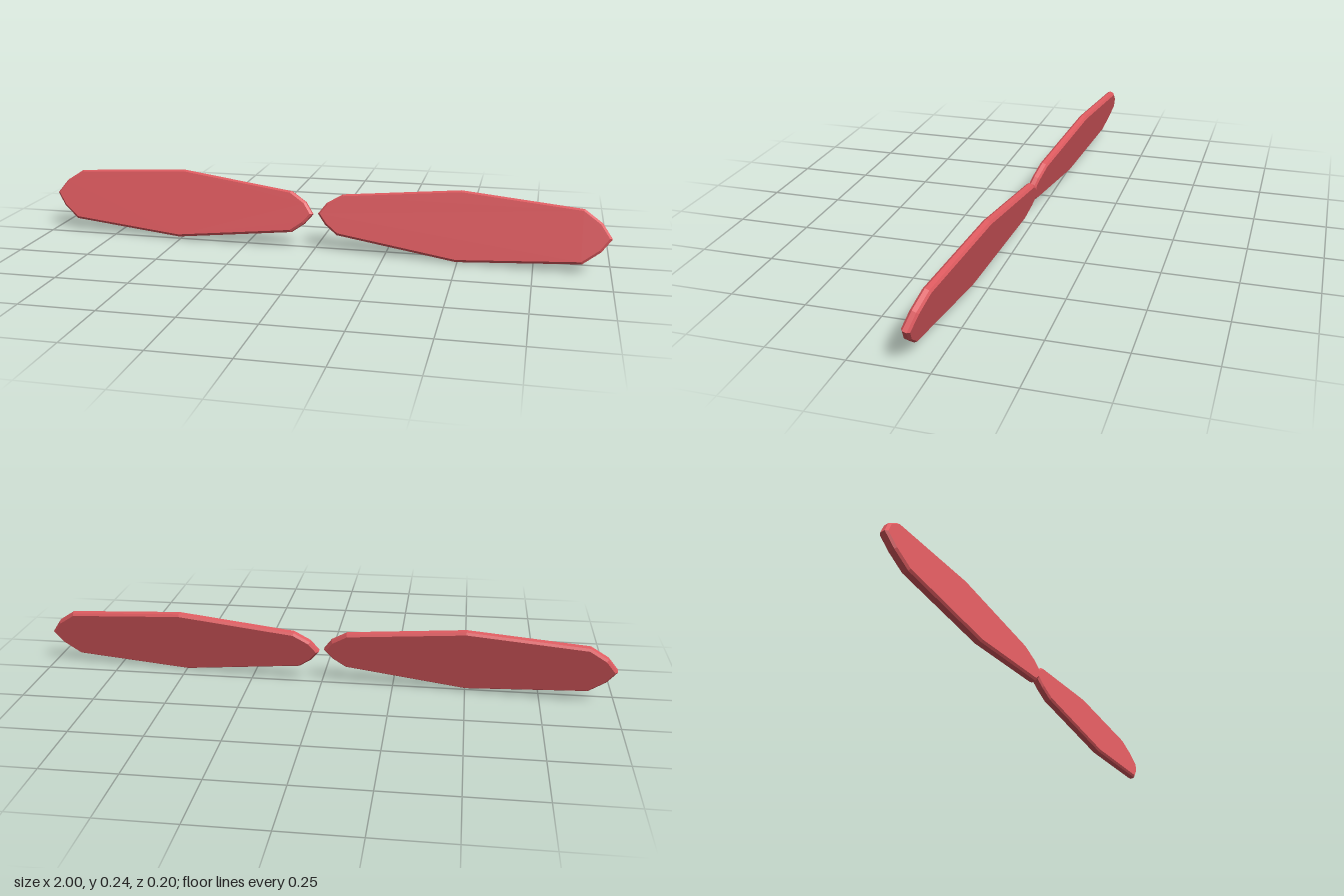
import * as THREE from 'three';

// Blade outline: u runs from the inner tip to the outer tip, v is the height
const OUTLINE = [
  [0.5, 0], [0.465, 0.049], [0.405, 0.09], [0, 0.12], [-0.41, 0.074], [-0.465, 0.04],
  [-0.494, 0], [-0.465, -0.036], [-0.42, -0.069], [0, -0.122], [0.41, -0.09], [0.467, -0.046],
];
const DEPTH = 0.014;
const BEVEL = 0.007;

// Flat bevelled plate; side = 1 or -1 mirrors the outline
function bladeGeometry(side) {
  const points = OUTLINE.map(([u, v]) => new THREE.Vector2(u * side, v));
  if (side < 0) points.reverse();
  const geometry = new THREE.ExtrudeGeometry(new THREE.Shape(points), {
    depth: DEPTH,
    bevelEnabled: true,
    bevelThickness: BEVEL,
    bevelSize: BEVEL,
    bevelOffset: -BEVEL,
    bevelSegments: 1,
  });
  return geometry.translate(0, 0, -DEPTH / 2);
}

export function createModel() {
  const model = new THREE.Group();
  model.name = 'bladePair';
  const material = new THREE.MeshStandardMaterial({ color: 0xdd5a5f, flatShading: true });

  // Two blades end to end, leaning back and turned slightly
  for (const side of [1, -1]) {
    const blade = new THREE.Mesh(bladeGeometry(side), material);
    blade.name = side > 0 ? 'leftBlade' : 'rightBlade';
    blade.position.set(0.5 * side, 0.123 - 0.003 * side, 0.031 * side);
    blade.rotation.set(-0.29, -0.08, -0.004, 'YXZ');
    model.add(blade);
  }
  return model;
}
